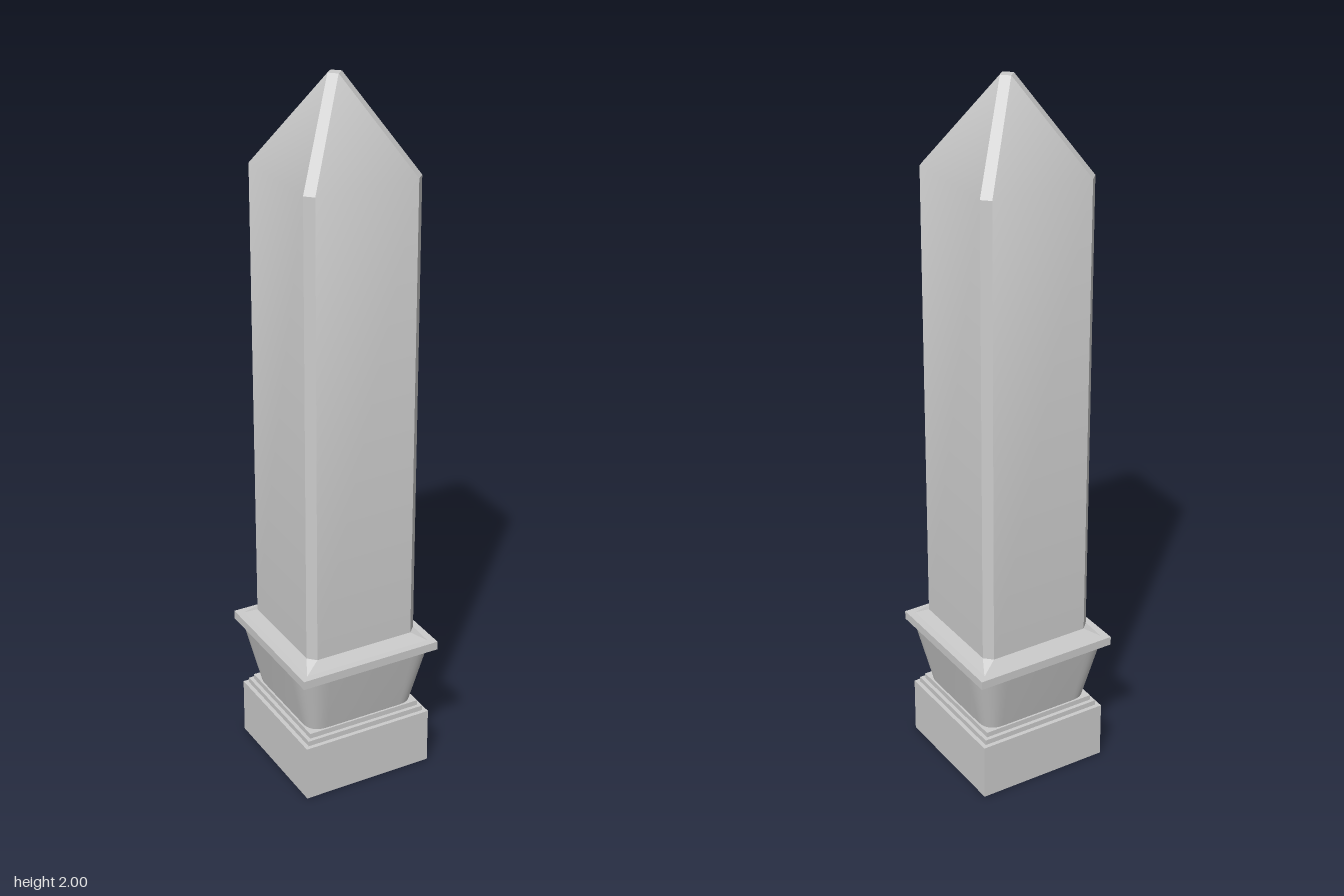
import * as THREE from 'three';
import { toCreasedNormals } from 'three/addons/utils/BufferGeometryUtils.js';

const grey = new THREE.MeshStandardMaterial({ color: 0xcccccc });

// Square outline with each corner cut over a length; several steps round the cut.
function outline(half, cut, steps) {
  const pts = [];
  const corner = new THREE.Vector2(half, half);
  const curve = new THREE.QuadraticBezierCurve(
    new THREE.Vector2(half, half - cut), corner, new THREE.Vector2(half - cut, half));
  for (let q = 0; q < 4; q++) {
    for (const p of curve.getPoints(steps)) {
      pts.push(p.rotateAround(new THREE.Vector2(), q * Math.PI / 2));
    }
  }
  return pts;
}

// Closed loft through horizontal sections given as [y, half width, corner cut].
function loft(name, sections, steps = 1, crease = 0.6) {
  const pos = [], index = [];
  const n = 4 * (steps + 1);
  for (const [y, half, cut] of sections) {
    for (const p of outline(half, cut, steps)) pos.push(p.x, y, -p.y);
  }
  for (let s = 0; s < sections.length - 1; s++) {
    for (let i = 0; i < n; i++) {
      const a = s * n + i, b = s * n + (i + 1) % n;
      index.push(a, b, b + n, a, b + n, a + n);
    }
  }
  const top = (sections.length - 1) * n;
  for (let i = 1; i < n - 1; i++) {
    index.push(0, i + 1, i, top, top + i, top + i + 1);
  }
  const geo = new THREE.BufferGeometry();
  geo.setAttribute('position', new THREE.Float32BufferAttribute(pos, 3));
  geo.setIndex(index);
  const mesh = new THREE.Mesh(toCreasedNormals(geo, crease), grey);
  mesh.name = name;
  return mesh;
}

function slab(name, half, y0, y1) {
  const mesh = new THREE.Mesh(new THREE.BoxGeometry(half * 2, y1 - y0, half * 2), grey);
  mesh.name = name;
  mesh.position.y = (y0 + y1) / 2;
  return mesh;
}

export function createModel() {
  const group = new THREE.Group();
  group.name = 'obelisk';

  // Square foot and the small stepped moulding above it
  group.add(slab('plinth', 0.195, 0, 0.165));
  group.add(slab('lowerStep', 0.183, 0.165, 0.18));
  group.add(slab('upperStep', 0.172, 0.18, 0.195));

  // Flared neck with softened corners
  group.add(loft('flaredNeck', [[0.19, 0.165, 0.05], [0.375, 0.209, 0.08]], 8));

  // Capping slab and the bevel that meets the shaft
  group.add(slab('capSlab', 0.211, 0.375, 0.4));
  group.add(loft('shaftBevel', [[0.4, 0.19, 0.0005], [0.427, 0.169, 0.022]], 1, 0.3));

  // Chamfered shaft running into its pointed tip
  group.add(loft('shaft', [[0.42, 0.169, 0.022], [1.75, 0.169, 0.022], [2, 0.0205, 0.0203]]));

  return group;
}
